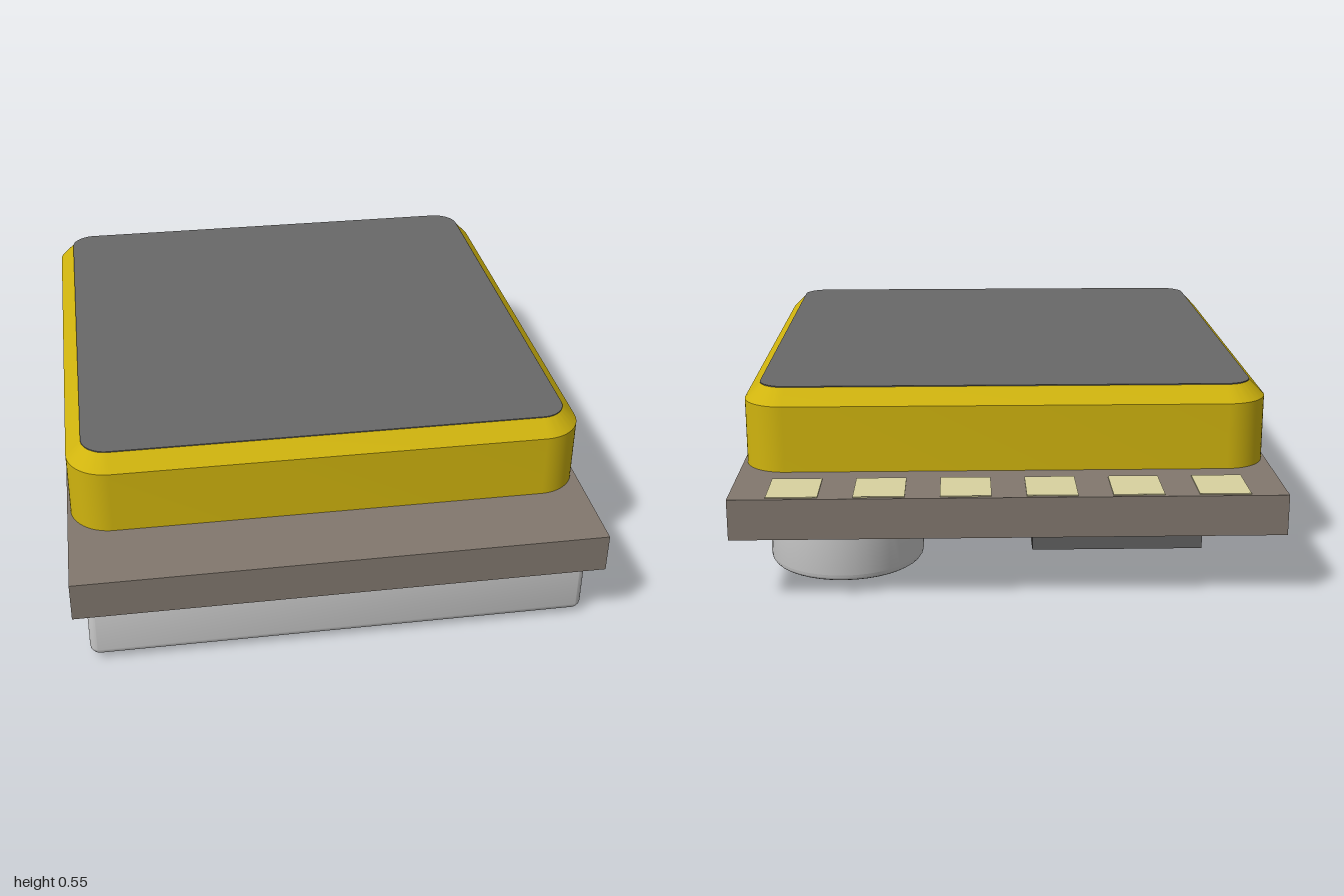
import * as THREE from 'three';
import { toCreasedNormals } from 'three/addons/utils/BufferGeometryUtils.js';

const material = (color) => new THREE.MeshStandardMaterial({ color });
const silver = material(0xcccccc);
const bronze = material(0x82786e);
const yellow = material(0xd0b40e);
const cream = material(0xd9d2a0);
const darkGrey = material(0x686868);
const plateGrey = material(0x4c4c4c);
const chipGrey = material(0x606060);
const pinGrey = material(0x8c857c);

function add(parent, name, geometry, mat, x = 0, y = 0, z = 0) {
  const mesh = new THREE.Mesh(geometry, mat);
  mesh.name = name;
  mesh.position.set(x, y, z);
  parent.add(mesh);
  return mesh;
}

// Rectangle with round corners, centred on the origin
function roundedRect(w, d, r) {
  const s = new THREE.Shape();
  const x = w / 2, y = d / 2;
  s.moveTo(-x + r, -y);
  s.lineTo(x - r, -y).absarc(x - r, -y + r, r, -Math.PI / 2, 0);
  s.lineTo(x, y - r).absarc(x - r, y - r, r, 0, Math.PI / 2);
  s.lineTo(-x + r, y).absarc(-x + r, y - r, r, Math.PI / 2, Math.PI);
  s.lineTo(-x, -y + r).absarc(-x + r, -y + r, r, Math.PI, Math.PI * 1.5);
  return s;
}

// Block with bevelled rims, running from y = 0 to height, or downwards
function bevelBlock(w, d, height, r, bevel, steps, down = false) {
  const g = new THREE.ExtrudeGeometry(roundedRect(w - 2 * bevel, d - 2 * bevel, r - bevel), {
    depth: height - 2 * bevel, bevelEnabled: true, bevelSize: bevel,
    bevelThickness: bevel, bevelSegments: steps, curveSegments: 8,
  });
  g.translate(0, 0, bevel);
  g.rotateX(down ? Math.PI / 2 : -Math.PI / 2);
  return toCreasedNormals(g, 0.6);
}

// Flat outline in x and z, extruded downwards
function flatDown(shape, depth) {
  const g = new THREE.ExtrudeGeometry(shape, { depth, bevelEnabled: false, curveSegments: 8 });
  return g.rotateX(Math.PI / 2);
}

export function createModel() {
  const model = new THREE.Group();
  model.name = 'antennaModule';

  // Circuit board
  add(model, 'board', new THREE.BoxGeometry(1.52, 0.115, 2), bronze, 0, 0.2475, 0);

  // Solder pads along the back edge
  for (let i = 0; i < 6; i++) {
    add(model, 'solderPad', new THREE.BoxGeometry(0.14, 0.01, 0.16), cream, -0.5875 + i * 0.235, 0.303, -0.91);
  }

  // Ceramic antenna block, its lower rim sunk into the board, with a flat top plate
  add(model, 'antennaBlock', bevelBlock(1.5, 1.53, 0.3, 0.12, 0.045, 1), yellow, 0, 0.242, 0);
  add(model, 'antennaTop', flatDown(roundedRect(1.41, 1.44, 0.075), 0.004), darkGrey, 0, 0.545, 0);

  // Metal shield under the board, with a dark face
  add(model, 'shield', bevelBlock(1.44, 1.23, 0.215, 0.03, 0.022, 4, true), silver, 0, 0.23, 0.345);
  add(model, 'shieldFace', flatDown(roundedRect(1.396, 1.186, 0.008), 0.003), plateGrey, 0, 0.016, 0.345);

  // Raised double-headed axis arrow on the shield face, as one outline of x and z
  const arrow = new THREE.Shape([
    [-0.435, 0.785], [-0.435, 0.23], [-0.54, 0.23], [-0.4, 0.05], [-0.26, 0.23], [-0.365, 0.23],
    [-0.365, 0.715], [0.12, 0.715], [0.12, 0.61], [0.3, 0.75], [0.12, 0.89], [0.12, 0.785],
  ].map(([x, z]) => new THREE.Vector2(x, z)));
  add(model, 'axisArrow', flatDown(arrow, 0.014), silver, 0, 0.014, 0);

  // Round can with a softened lower rim
  const profile = [new THREE.Vector2(0, 0.04)];
  for (let i = 0; i <= 4; i++) {
    const a = (i / 4) * Math.PI / 2;
    profile.push(new THREE.Vector2(0.2 + 0.02 * Math.sin(a), 0.06 - 0.02 * Math.cos(a)));
  }
  profile.push(new THREE.Vector2(0.22, 0.2));
  add(model, 'roundCan', toCreasedNormals(new THREE.LatheGeometry(profile, 40), 0.5), silver, 0.46, 0, -0.72);

  // Sensor chip with four pins on each side and a corner dot
  const chip = new THREE.Group();
  chip.name = 'sensorChip';
  chip.position.set(-0.31, 0, -0.62);
  model.add(chip);
  add(chip, 'chipBody', new THREE.BoxGeometry(0.48, 0.1, 0.48), chipGrey, 0, 0.15, 0);
  add(chip, 'cornerDot', new THREE.CylinderGeometry(0.034, 0.034, 0.008, 24), silver, -0.16, 0.099, 0.16);
  const pin = new THREE.Shape();
  pin.moveTo(-0.026, 0.22);
  pin.lineTo(0.026, 0.22).lineTo(0.026, 0.264);
  pin.absarc(0, 0.264, 0.026, 0, Math.PI);
  const pinGeometry = flatDown(pin, 0.03);
  for (let side = 0; side < 4; side++) {
    const row = new THREE.Group();
    row.name = 'pinRow';
    row.rotation.y = side * Math.PI / 2;
    chip.add(row);
    for (let i = 0; i < 4; i++) {
      add(row, 'pin', pinGeometry, pinGrey, (i - 1.5) * 0.11, 0.198, 0);
    }
  }

  return model;
}
